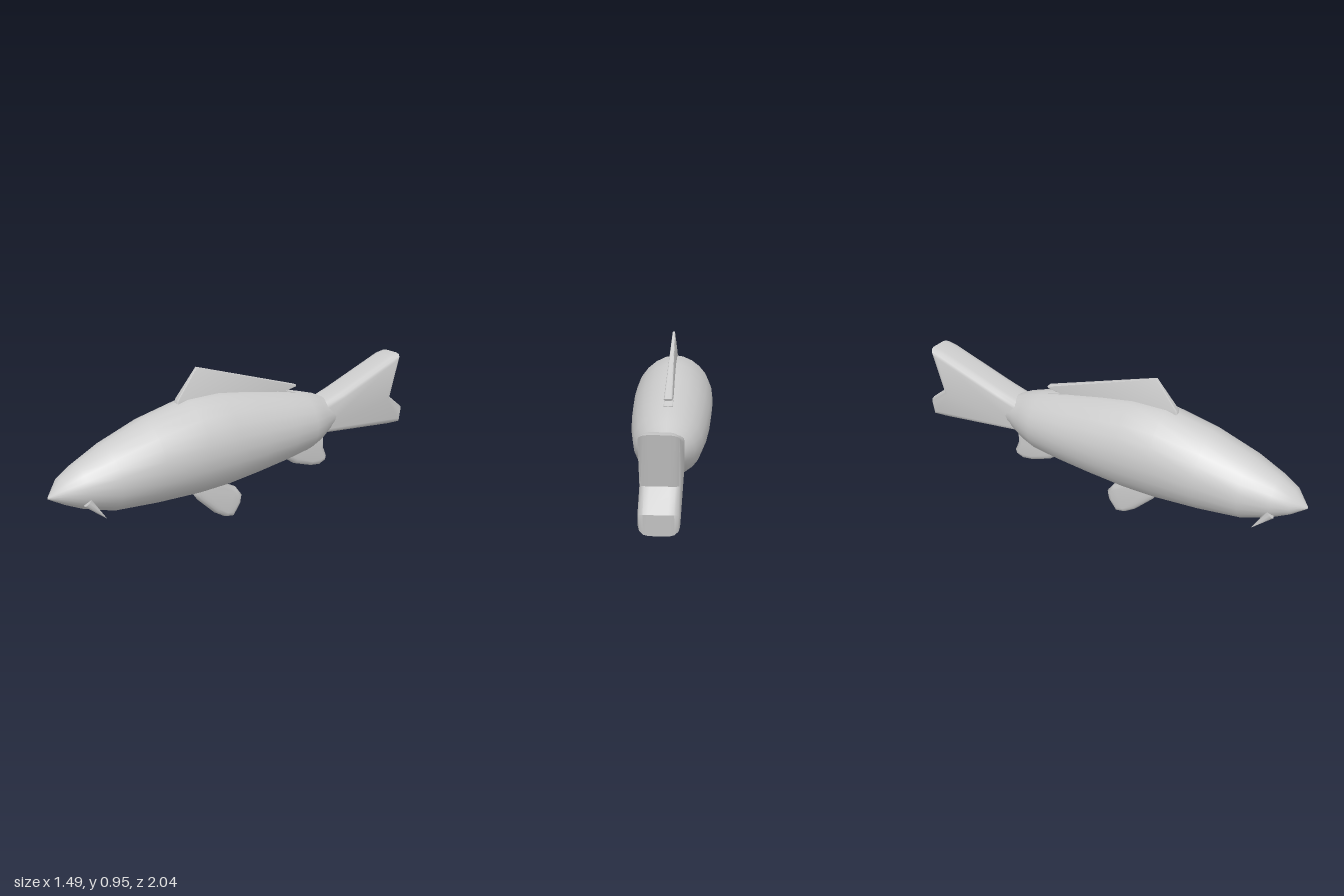
import * as THREE from 'three';
import { toCreasedNormals } from 'three/addons/utils/BufferGeometryUtils.js';

const material = new THREE.MeshStandardMaterial({ color: 0xcccccc, side: THREE.DoubleSide });

function part(name, geometry) {
  const mesh = new THREE.Mesh(geometry, material);
  mesh.name = name;
  return mesh;
}

// Rounded slab from a side outline: x along the fish, y up, z across
function slab(name, points, thickness, bevel, size, taper = () => 1) {
  const shape = new THREE.Shape(points.map(([x, y]) => new THREE.Vector2(x, y)));
  const depth = thickness - 2 * bevel;
  const geo = new THREE.ExtrudeGeometry(shape, {
    depth, bevelEnabled: true, bevelThickness: bevel, bevelSize: size,
    bevelOffset: -size, bevelSegments: 3,
  });
  geo.translate(0, 0, -depth / 2);
  const p = geo.attributes.position;
  for (let i = 0; i < p.count; i++) p.setZ(i, p.getZ(i) * taper(p.getY(i)));
  return part(name, toCreasedNormals(geo, 0.9));
}

// Body skinned over oval cross-sections: [along, top, bottom, half width]
function makeBody() {
  const sections = [
    [-1.225, 0.425, 0.415, 0.006], [-1.15, 0.51, 0.37, 0.088], [-1.06, 0.565, 0.325, 0.13],
    [-0.9, 0.64, 0.272, 0.185], [-0.66, 0.725, 0.25, 0.225], [-0.4, 0.785, 0.234, 0.24],
    [-0.2, 0.785, 0.236, 0.238], [0, 0.755, 0.255, 0.23], [0.22, 0.715, 0.28, 0.212],
    [0.4, 0.675, 0.305, 0.187], [0.5, 0.645, 0.335, 0.15], [0.59, 0.6, 0.38, 0.104],
    [0.7, 0.57, 0.42, 0.075],
  ];
  const sides = 24, pos = [], index = [];
  sections.forEach(([s, top, bottom, half], i) => {
    const mid = (top + bottom) / 2, h = (top - bottom) / 2;
    for (let j = 0; j < sides; j++) {
      const a = (j / sides) * Math.PI * 2, c = Math.cos(a), sn = Math.sin(a);
      // the back is pinched slightly towards the dorsal fin
      const w = Math.sign(c) * Math.pow(Math.abs(c), sn > 0 ? 1.15 : 1);
      pos.push(s, mid + h * sn, half * w);
      if (i < sections.length - 1) {
        const k = (j + 1) % sides, r = i * sides, n = r + sides;
        index.push(r + j, n + j, r + k, r + k, n + j, n + k);
      }
    }
  });
  const geo = new THREE.BufferGeometry();
  geo.setAttribute('position', new THREE.Float32BufferAttribute(pos, 3));
  geo.setIndex(index);
  geo.computeVertexNormals();
  return part('body', geo);
}

export function createModel() {
  const fish = new THREE.Group();
  fish.name = 'fish';
  fish.add(makeBody());

  // Thick forked tail
  fish.add(slab('tailFin', [
    [0.48, 0.57], [0.68, 0.635], [1.1, 0.79], [1.17, 0.8], [1.1, 0.53],
    [1.215, 0.44], [1.2, 0.33], [1.1, 0.335], [0.48, 0.4],
  ], 0.192, 0.05, 0.035));

  // Thin dorsal fin, narrowing upwards, with a loose rear point
  fish.add(slab('dorsalFin', [
    [-0.47, 0.72], [-0.46, 0.79], [-0.33, 0.95], [0.36, 0.727], [0.355, 0.715],
    [0.28, 0.705], [0.36, 0.685], [0.34, 0.65],
  ], 0.05, 0.012, 0.005, (y) => THREE.MathUtils.clamp(1 - (y - 0.7) * 3, 0.3, 1)));

  // Paddle-shaped lower fins
  fish.add(slab('pelvicFin', [
    [-0.36, 0.27], [-0.37, 0.21], [-0.34, 0.165], [-0.23, 0.055], [-0.16, 0.01], [-0.1, 0],
    [-0.05, 0.07], [-0.04, 0.125], [-0.08, 0.18], [-0.15, 0.22], [-0.17, 0.27],
  ], 0.065, 0.027, 0.03));
  fish.add(slab('analFin', [
    [0.25, 0.32], [0.27, 0.285], [0.36, 0.22], [0.49, 0.175], [0.56, 0.165],
    [0.61, 0.185], [0.618, 0.215], [0.59, 0.28], [0.59, 0.41], [0.4, 0.38],
  ], 0.07, 0.028, 0.03));

  // Barbels hanging from the corners of the mouth
  const up = new THREE.Vector3(0, 1, 0);
  for (const side of [-1, 1]) {
    const base = new THREE.Vector3(-1.065, 0.395, side * 0.115);
    const tip = new THREE.Vector3(-0.98, 0.295, side * 0.145);
    const dir = tip.clone().sub(base);
    const barbel = part(side > 0 ? 'leftBarbel' : 'rightBarbel',
      new THREE.ConeGeometry(0.026, dir.length(), 8));
    barbel.position.copy(base).addScaledVector(dir, 0.5);
    barbel.quaternion.setFromUnitVectors(up, dir.normalize());
    fish.add(barbel);
  }

  // The fish lies diagonally, head towards front right
  fish.rotation.y = THREE.MathUtils.degToRad(55);
  fish.position.set(-0.006, 0, -0.004);
  const model = new THREE.Group();
  model.add(fish);
  return model;
}
